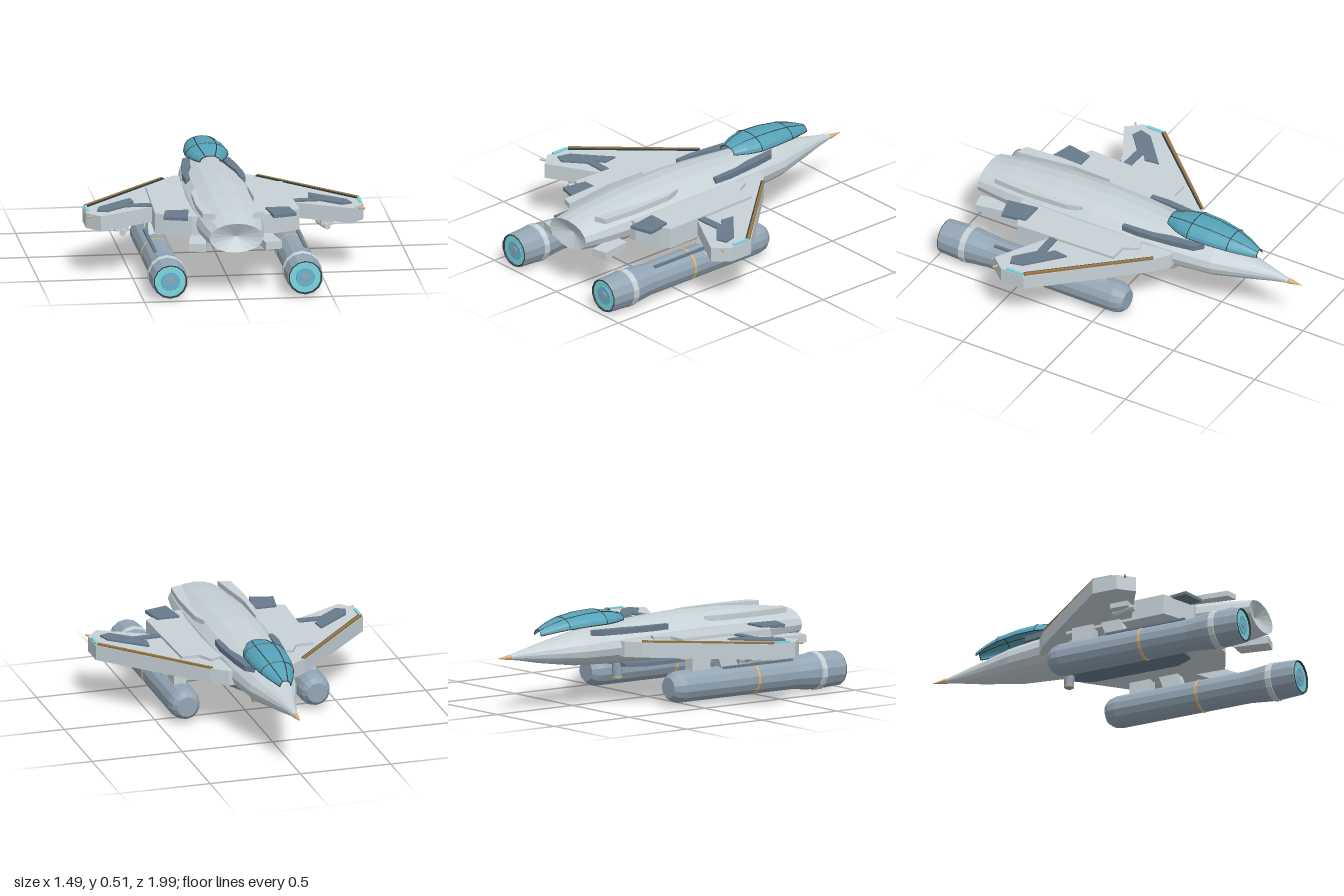
import * as THREE from 'three';

const mat = (name, color, side = THREE.FrontSide) => {
  const m = new THREE.MeshStandardMaterial({ color, side });
  m.name = name;
  return m;
};

export function createModel() {
  const root = new THREE.Group();
  root.name = 'starfighter';
  const hull = mat('hull grey', 0xc6d1d6);
  const slate = mat('slate panel', 0x687b8c);
  const steel = mat('engine steel', 0x93a5b4);
  const glass = mat('canopy glass', 0x55a2b8, THREE.DoubleSide);
  const frame = mat('dark frame', 0x2f3d46);
  const glow = mat('cyan glow', 0x7bd6de);
  const blue = mat('blue ring', 0x66b4d2);
  const gold = mat('pale gold', 0xdbb27a);
  const bronze = mat('bronze trim', 0x9a7640);

  // faceted mesh with flat normals
  const add = (name, geo, material, parent = root) => {
    const g = geo.index ? geo.toNonIndexed() : geo;
    g.computeVertexNormals();
    const m = new THREE.Mesh(g, material);
    m.name = name;
    parent.add(m);
    return m;
  };
  // horizontal plate from [x, z] corners, between two heights; s mirrors it
  const slab = (pts, y0, y1, s = 1) => {
    const shape = new THREE.Shape(pts.map(([x, z]) => new THREE.Vector2(s * x, -z)));
    return new THREE.ExtrudeGeometry(shape, { depth: y1 - y0, bevelEnabled: false })
      .rotateX(-Math.PI / 2).translate(0, y0, 0);
  };
  const box = (w, h, d, x, y, z) => new THREE.BoxGeometry(w, h, d).translate(x, y, z);
  // turned part along z from [radius, z] points
  const turned = (pts, x, y, sides = 14) =>
    new THREE.LatheGeometry(pts.map(([r, z]) => new THREE.Vector2(r, z)), sides)
      .rotateX(Math.PI / 2).translate(x, y, 0);
  // surface through rows of equally many points
  const loft = (rows) => {
    const n = rows[0].length, idx = [];
    for (let i = 0; i < rows.length - 1; i++)
      for (let j = 0; j < n - 1; j++) {
        const a = i * n + j, b = a + n;
        idx.push(a, a + 1, b, b, a + 1, b + 1);
      }
    const g = new THREE.BufferGeometry();
    g.setAttribute('position', new THREE.Float32BufferAttribute(rows.flat(2), 3));
    g.setIndex(idx);
    return g;
  };

  // fuselage: z, half width, bottom, top; closed by a shallow recessed tail
  const sections = [
    [-0.92, 0.012, 0.288, 0.312], [-0.83, 0.03, 0.272, 0.332], [-0.72, 0.062, 0.25, 0.355],
    [-0.5, 0.132, 0.217, 0.395], [-0.28, 0.165, 0.207, 0.418], [0, 0.185, 0.203, 0.438],
    [0.22, 0.193, 0.202, 0.447], [0.5, 0.19, 0.203, 0.44], [0.75, 0.168, 0.213, 0.42],
    [0.92, 0.145, 0.237, 0.395], [0.88, 0.0005, 0.3165, 0.3175],
  ];
  const sides = 16;
  add('fuselage', loft(sections.map(([z, w, lo, hi]) =>
    Array.from({ length: sides + 1 }, (_, i) => {
      const a = (i / sides) * Math.PI * 2;
      return [w * Math.cos(a), (lo + hi) / 2 + ((hi - lo) / 2) * Math.sin(a), z];
    }))), hull);
  add('noseTip', turned([[0, -1], [0.015, -0.92], [0.015, -0.912], [0, -0.912]], 0, 0.3, 8), gold);

  // canopy: z, half width, sill height, rise
  const canopy = [
    [-0.73, 0.03, 0.4, 0.03], [-0.66, 0.063, 0.415, 0.045], [-0.58, 0.09, 0.427, 0.056],
    [-0.46, 0.11, 0.436, 0.064], [-0.35, 0.114, 0.438, 0.066], [-0.27, 0.092, 0.439, 0.055],
    [-0.2, 0.055, 0.44, 0.032],
  ];
  const onCanopy = ([z, w, y, h], t) =>
    [w * Math.cos(t * Math.PI), y + h * Math.sin(t * Math.PI), z];
  add('canopyGlass', loft(canopy.map((c) =>
    Array.from({ length: 11 }, (_, i) => onCanopy(c, i / 10)))), glass);
  const rail = (name, pts) => {
    const path = new THREE.CurvePath();
    const v = pts.map((p) => new THREE.Vector3(...p));
    for (let i = 1; i < v.length; i++) path.add(new THREE.LineCurve3(v[i - 1], v[i]));
    add(name, new THREE.TubeGeometry(path, 24, 0.003, 4), frame);
  };
  for (const i of [0, 2, 4, 6])
    rail('canopyHoop', Array.from({ length: 11 }, (_, j) => onCanopy(canopy[i], j / 10)));
  for (const t of [0, 0.35, 0.65, 1]) rail('canopyRail', canopy.map((c) => onCanopy(c, t)));

  // belly plate and sensor turret
  const belly = [[0.07, -0.2], [0.12, -0.1], [0.12, 0.38], [0.07, 0.48]];
  add('bellyPlate', slab([...belly, ...belly.map(([x, z]) => [-x, z]).reverse()],
    0.187, 0.206), slate);
  add('bellyTurret', new THREE.CylinderGeometry(0.03, 0.026, 0.075, 12)
    .translate(0, 0.166, -0.2), steel);
  add('turretRing', new THREE.CylinderGeometry(0.027, 0.027, 0.008, 12)
    .translate(0, 0.127, -0.2), gold);
  add('turretLens', new THREE.CylinderGeometry(0.022, 0.022, 0.004, 12)
    .translate(0, 0.122, -0.2), steel);

  for (const s of [1, -1]) {
    const side = new THREE.Group();
    side.name = s > 0 ? 'leftSide' : 'rightSide';
    root.add(side);
    const put = (name, geo, m) => add(name, geo, m, side);
    const plate = (name, pts, y0, y1, m) => put(name, slab(pts, y0, y1, s), m);

    // wing, blended root and raised panels
    plate('wing', [[0.1, -0.3], [0.18, -0.29], [0.26, -0.23], [0.74, 0.28], [0.74, 0.42],
      [0.67, 0.5], [0.38, 0.34], [0.1, 0.36]], 0.265, 0.347, hull);
    plate('wingRoot', [[0.12, -0.08], [0.225, -0.13], [0.27, -0.05], [0.365, -0.05],
      [0.385, 0.53], [0.33, 0.56], [0.2, 0.62], [0.12, 0.62]], 0.25, 0.362, hull);
    plate('wingPanel', [[0.475, 0.17], [0.465, 0.25], [0.51, 0.285], [0.38, 0.29],
      [0.375, 0.335], [0.52, 0.33], [0.625, 0.42], [0.68, 0.4], [0.66, 0.33]],
      0.347, 0.356, slate);
    plate('leadingEdgeStrip', [[0.25, -0.227], [0.261, -0.232], [0.733, 0.28],
      [0.721, 0.292]], 0.346, 0.357, bronze);
    plate('leadingEdgeSeal', [[0.245, -0.222], [0.25, -0.227], [0.721, 0.292],
      [0.715, 0.297]], 0.346, 0.354, frame);
    plate('tailFlap', [[0.33, 0.51], [0.205, 0.51], [0.23, 0.68], [0.355, 0.645]],
      0.355, 0.372, slate);
    put('tipLight', box(0.016, 0.01, 0.1, s * 0.728, 0.35, 0.34), glow);
    put('tipPin', new THREE.CylinderGeometry(0.006, 0.006, 0.032, 6).rotateX(Math.PI / 2)
      .rotateY(s * 1.1).translate(s * 0.727, 0.337, 0.463), gold);

    // cockpit cheek, dorsal strake and small tail fin
    plate('cockpitCheek', [[0.08, -0.44], [0.125, -0.4], [0.145, -0.28], [0.165, -0.08],
      [0.16, 0.02], [0.135, 0.02], [0.125, -0.15], [0.1, -0.25]], 0.38, 0.41, slate);
    plate('dorsalStrake', [[0.14, 0.27], [0.17, 0.36], [0.178, 0.6], [0.165, 0.8],
      [0.1, 0.82], [0.145, 0.5]], 0.395, 0.424, hull);
    plate('tailFin', [[0.13, 0.7], [0.22, 0.7], [0.248, 0.87], [0.16, 0.89]],
      0.238, 0.28, hull);

    // under-wing gun
    put('gunMount', box(0.07, 0.03, 0.1, s * 0.55, 0.252, 0.36), hull);
    put('gun', new THREE.CylinderGeometry(0.017, 0.017, 0.14, 8).rotateX(Math.PI / 2)
      .rotateY(s * 0.25).translate(s * 0.53, 0.235, 0.37), hull);

    // engine pod
    const X = s * 0.36, Y = 0.106;
    put('enginePod', turned([[0, -0.135], [0.055, -0.135], [0.077, -0.108], [0.086, -0.07],
      [0.086, 0.68], [0.098, 0.8], [0.1, 0.86], [0.094, 0.98], [0.09, 0.985]], X, Y), steel);
    put('engineBand', turned([[0.085, 0.402], [0.089, 0.402], [0.089, 0.416],
      [0.085, 0.416]], X, Y), gold);
    put('engineCollar', turned([[0.096, 0.816], [0.104, 0.82], [0.104, 0.85],
      [0.098, 0.854]], X, Y), hull);
    put('nozzleLip', turned([[0.091, 0.983], [0.09, 0.987], [0.085, 0.987],
      [0.083, 0.975]], X, Y), frame);
    put('nozzleGlow', turned([[0.085, 0.978], [0, 0.978]], X, Y), glow);
    put('nozzleRing', turned([[0.052, 0.977], [0.05, 0.982], [0.022, 0.982]], X, Y), blue);
    put('nozzleCore', turned([[0.024, 0.977], [0.022, 0.986], [0, 0.987]], X, Y), steel);
    put('engineSpine', box(0.016, 0.012, 0.46, s * 0.4, 0.186, 0.43), slate);

    // pylons between wing and pod, the rear one raked
    put('frontPylon', box(0.065, 0.09, 0.12, X, 0.228, 0.06), hull);
    const rake = box(0.065, 0.09, 0.11, X, 0.228, 0.235);
    const p = rake.attributes.position;
    for (let i = 0; i < p.count; i++) p.setZ(i, p.getZ(i) - (p.getY(i) - 0.228) * 0.35);
    put('rearPylon', rake, hull);
  }
  return root;
}
